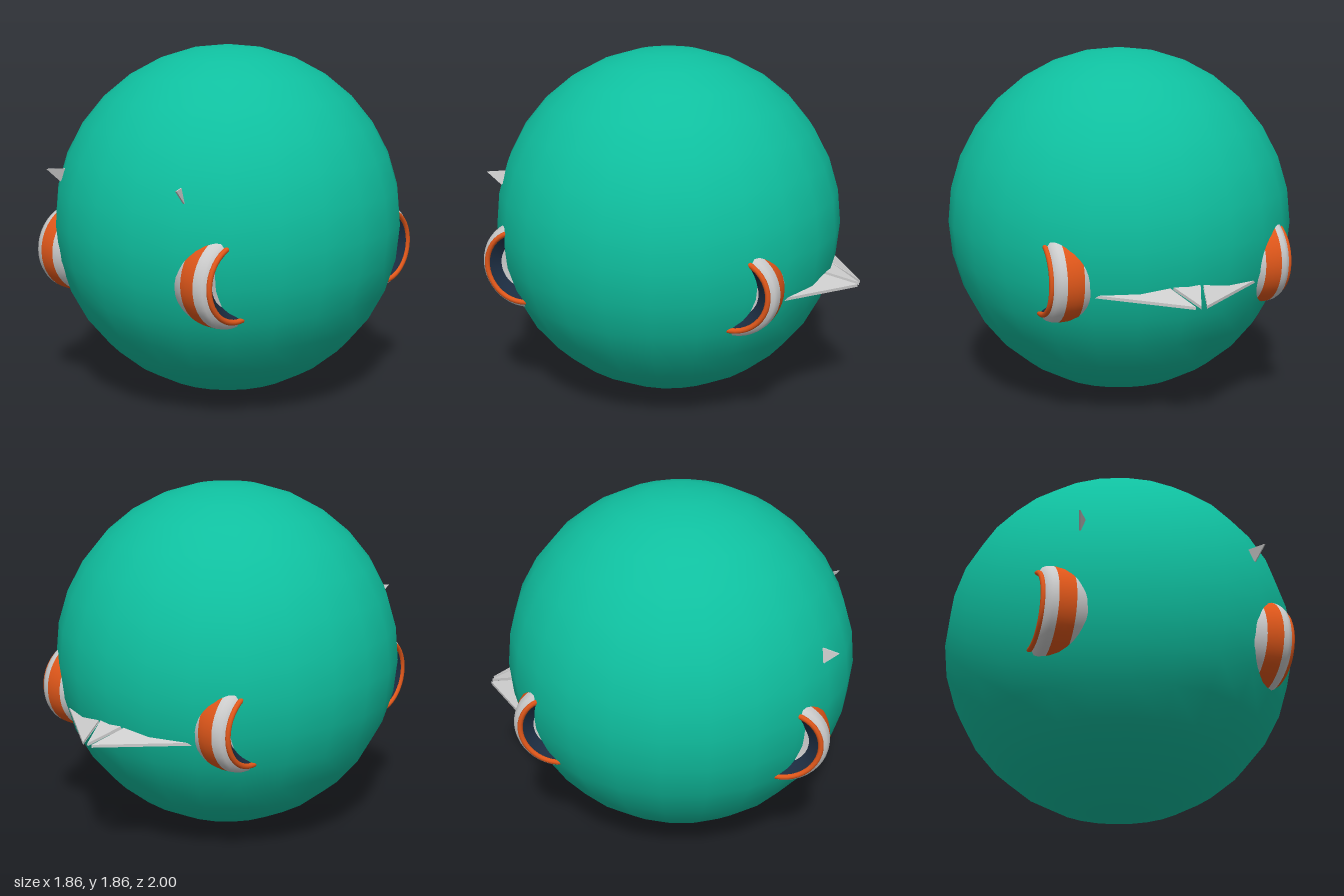
import * as THREE from 'three';

const mat = (color, extra = {}) => new THREE.MeshStandardMaterial({ color, ...extra });
const green = mat(0x0fbf9f);
const orange = mat(0xe0571a, { side: THREE.DoubleSide });
const navy = mat(0x1c2c40, { side: THREE.DoubleSide });
const grey = mat(0xcccccc, { side: THREE.DoubleSide });
const greyFlat = mat(0xcccccc, { side: THREE.DoubleSide, flatShading: true });

function add(parent, name, geometry, material) {
  const mesh = new THREE.Mesh(geometry, material);
  mesh.name = name;
  parent.add(mesh);
  return mesh;
}

// Revolved band; points are [radius, distance along the axle]
const band = (points) =>
  new THREE.LatheGeometry(points.map(([r, d]) => new THREE.Vector2(r, d)), 40);

// Thin plate: polygon of 3D corners joined to a copy moved by offset
function plate(corners, offset) {
  const n = corners.length;
  const pos = [...corners, ...corners.map((c) => c.map((v, i) => v + offset[i]))].flat();
  const index = [];
  for (let i = 1; i < n - 1; i++) index.push(0, i, i + 1, n, n + i + 1, n + i);
  for (let i = 0; i < n; i++) {
    const j = (i + 1) % n;
    index.push(i, n + i, j, j, n + i, n + j);
  }
  const g = new THREE.BufferGeometry();
  g.setAttribute('position', new THREE.Float32BufferAttribute(pos, 3));
  g.setIndex(index);
  const flat = g.toNonIndexed();
  flat.computeVertexNormals();
  return flat;
}

// Striped round pod whose axle runs sideways, opening outwards
function makePod(side, z) {
  const pod = new THREE.Group();
  pod.name = (z > 0 ? 'front' : 'rear') + (side > 0 ? 'Left' : 'Right') + 'Pod';
  add(pod, 'innerShell', band([[0, 0.3], [0.12, 0.32], [0.18, 0.37], [0.215, 0.43], [0.231, 0.49]]), grey);
  add(pod, 'orangeStripe', band([[0.231, 0.49], [0.236, 0.53], [0.235, 0.578]]), orange);
  add(pod, 'outerShell', band([[0.235, 0.578], [0.231, 0.605], [0.221, 0.626], [0.2, 0.638]]), grey);
  add(pod, 'bore', band([[0.18, 0.645], [0.165, 0.635], [0.13, 0.6]]), navy);
  add(pod, 'innerDisc', band([[0.13, 0.6], [0.06, 0.59], [0, 0.59]]), grey);
  const lip = add(pod, 'lip', new THREE.TorusGeometry(0.19, 0.014, 10, 40), orange);
  lip.rotation.x = Math.PI / 2;
  lip.position.y = 0.643;
  pod.rotation.z = (-side * Math.PI) / 2;
  pod.position.set(0, 0.783, z);
  return pod;
}

export function createModel() {
  const model = new THREE.Group();
  model.name = 'sphereCraft';

  // Main round shell
  const shell = add(model, 'shell', new THREE.SphereGeometry(0.93, 24, 16), green);
  shell.position.set(0, 0.935, 0.065);

  for (const s of [1, -1]) {
    // Pods
    for (const z of [0.65, -0.5]) model.add(makePod(s, z));

    // Small blades poking out at the front
    add(model, s > 0 ? 'leftBlade' : 'rightBlade', plate(
      [[s * 0.4, 1.238, 0.77], [s * 0.488, 1.238, 0.905], [s * 0.465, 1.168, 0.835]],
      [s * 0.006, 0, -0.004]), greyFlat);

    // Swept side panels of the tail
    add(model, s > 0 ? 'leftTailPanel' : 'rightTailPanel', plate(
      [[s * 0.03, 0.69, -1], [s * 0.46, 0.72, -0.7], [s * 0.1, 0.76, -0.8], [s * 0.085, 0.745, -0.85]],
      [0, -0.015, 0]), greyFlat);
  }

  // Middle panel of the tail
  add(model, 'middleTailPanel', plate(
    [[0, 0.69, -1], [0.075, 0.755, -0.83], [-0.075, 0.755, -0.83]], [0, -0.015, 0]), greyFlat);

  return model;
}
